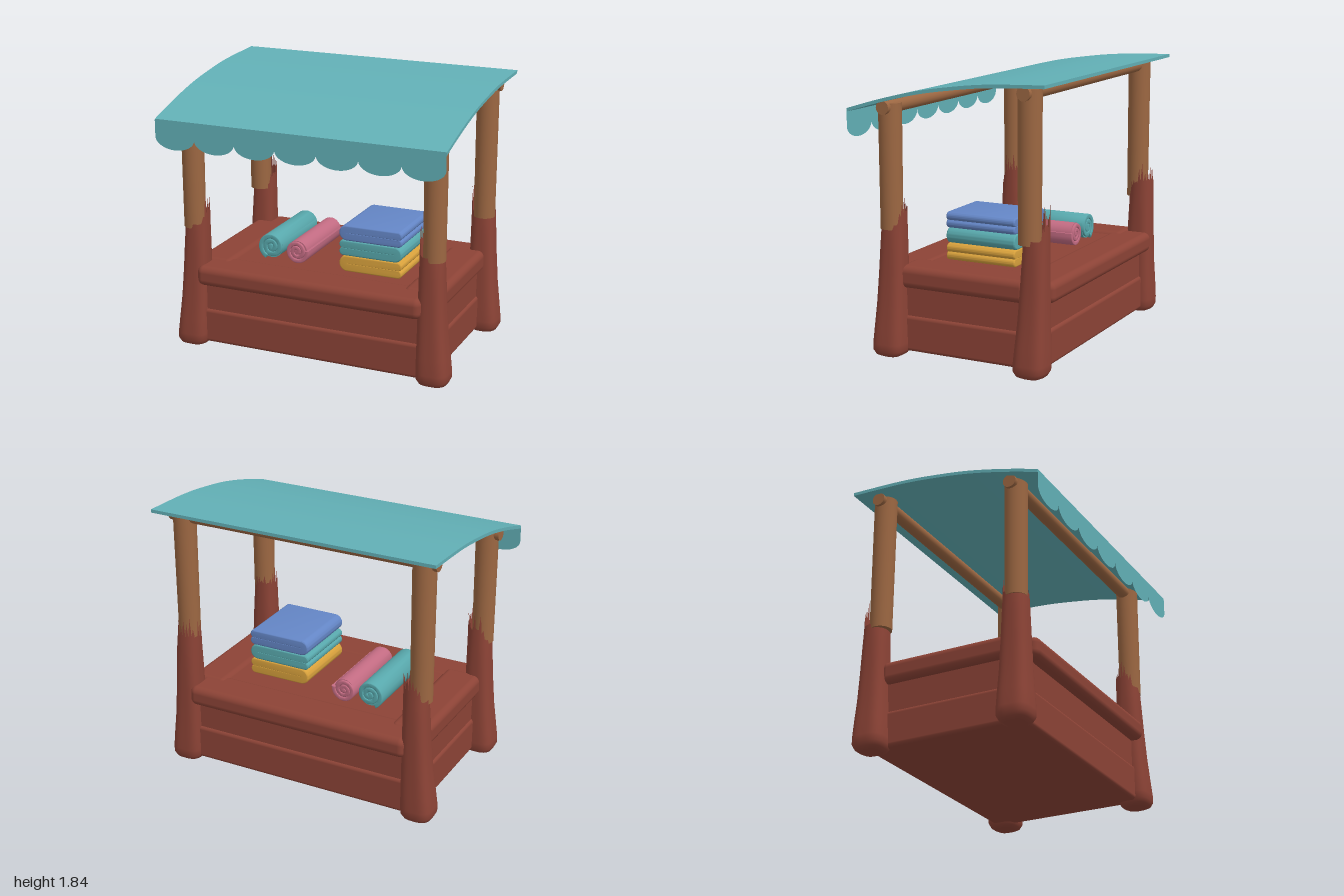
import * as THREE from 'three';
import { mergeVertices, toCreasedNormals } from 'three/addons/utils/BufferGeometryUtils.js';
import { RoundedBoxGeometry } from 'three/addons/geometries/RoundedBoxGeometry.js';

const mat = (name, color, side = THREE.FrontSide) => {
  const m = new THREE.MeshStandardMaterial({ color, side });
  m.name = name;
  return m;
};

export function createModel() {
  const model = new THREE.Group();
  model.name = 'marketStall';
  const redWood = mat('redWood', 0x8c4336, THREE.DoubleSide);
  const brownWood = mat('brownWood', 0x9c6742);
  const canopyTeal = mat('canopyTeal', 0x62b0b6, THREE.DoubleSide);
  const towelTeal = mat('towelTeal', 0x58a8ac);
  const towelBlue = mat('towelBlue', 0x6486c6);
  const towelYellow = mat('towelYellow', 0xd8a13c);
  const towelPink = mat('towelPink', 0xc26b82);

  const add = (name, geometry, material, x = 0, y = 0, z = 0) => {
    const mesh = new THREE.Mesh(geometry, material);
    mesh.name = name;
    mesh.position.set(x, y, z);
    model.add(mesh);
    return mesh;
  };
  // Rounded box given by its minimum and maximum corners
  const block = (name, a, b, r, material = redWood) => add(name,
    new RoundedBoxGeometry(b[0] - a[0], b[1] - a[1], b[2] - a[2], 4, r), material,
    (a[0] + b[0]) / 2, (a[1] + b[1]) / 2, (a[2] + b[2]) / 2);

  // Counter body: two stacked planks on every side
  block('lowerPlanks', [-0.85, 0.03, -0.6], [0.85, 0.27, 0.51], 0.025);
  block('upperPlanks', [-0.835, 0.24, -0.585], [0.835, 0.49, 0.495], 0.025);

  // Counter top: panel framed by thick rounded rails
  block('topPanel', [-0.64, 0.48, -0.42], [0.64, 0.583, 0.34], 0.008);
  block('frontRail', [-0.8, 0.455, 0.3], [0.8, 0.592, 0.575], 0.045);
  block('backRail', [-0.8, 0.455, -0.66], [0.8, 0.592, -0.385], 0.045);
  for (const s of [-1, 1]) {
    block('sideRail', [s * 0.75 - 0.13, 0.455, -0.5], [s * 0.75 + 0.13, 0.602, 0.42], 0.045);
  }

  // Flared leg with a splintered top on its inner, rearward side
  const hash = (n) => { const v = Math.sin(n * 127.1) * 43758.5453; return v - Math.floor(v); };
  // y, half width, centre x, centre z offset, squareness
  const legRows = [
    [0, 0.001, 0.87, 0, 3], [0.002, 0.065, 0.87, 0, 3], [0.016, 0.093, 0.87, 0, 3],
    [0.045, 0.108, 0.869, 0, 3.2], [0.09, 0.108, 0.867, 0, 3.4], [0.2, 0.102, 0.861, -0.003, 3.4],
    [0.35, 0.094, 0.853, -0.006, 3.2], [0.55, 0.087, 0.846, -0.01, 3], [0.72, 0.083, 0.842, -0.013, 2.7],
    [0.84, 0.081, 0.839, -0.015, 2.3], [0.87, 0.08, 0.838, -0.016, 2.2],
  ];
  const columns = 48;
  function leg(sx, zc, seed) {
    const g = new THREE.CylinderGeometry(1, 1, 1, columns, legRows.length - 1, true);
    const p = g.attributes.position;
    for (let i = 0; i < p.count; i++) {
      const column = i % (columns + 1);
      const row = Math.floor(i / (columns + 1));
      const [y, half, cx, dz, n] = legRows[legRows.length - 1 - row];
      const a = (column % columns) / columns * Math.PI * 2;
      const s = Math.sin(a), c = Math.cos(a);
      const r = half / Math.pow(Math.abs(s) ** n + Math.abs(c) ** n, 1 / n);
      let top = 0;
      if (row === 0) {
        const inner = THREE.MathUtils.smoothstep(-(s * sx + c) * 0.707, -0.15, 0.5);
        const tooth = column % 2 ? hash((column % columns) + seed) : 0.1 * hash(column % columns);
        top = inner * (0.07 + 0.17 * tooth);
      }
      p.setXYZ(i, sx * cx + r * s, y + top, zc + dz + r * c);
    }
    g.deleteAttribute('normal');
    g.deleteAttribute('uv');
    return toCreasedNormals(mergeVertices(g, 1e-5), 0.9);
  }

  // Four legs with posts, and a beam across each pair
  const rows = [
    { name: 'front', legZ: 0.466, postZ: 0.46, top: 1.65, beamY: 1.625 },
    { name: 'back', legZ: -0.548, postZ: -0.525, top: 1.795, beamY: 1.77 },
  ];
  rows.forEach((r, k) => {
    for (const s of [-1, 1]) {
      add(r.name + 'Leg', leg(s, r.legZ, 11 * k + 5 * s + 20), redWood);
      add(r.name + 'Post', new THREE.CylinderGeometry(0.076, 0.073, r.top - 0.84, 28),
        brownWood, s * 0.855, (r.top + 0.84) / 2, r.postZ);
    }
    const beam = add(r.name + 'Beam', new THREE.CylinderGeometry(0.045, 0.045, 1.9, 20),
      brownWood, 0, r.beamY, r.postZ);
    beam.rotation.z = Math.PI / 2;
  });

  // Curved canopy sheet
  const curve = new THREE.SplineCurve([
    [0.688, 1.605], [0.46, 1.673], [0.22, 1.733], [0, 1.772], [-0.3, 1.808], [-0.69, 1.825],
  ].map(([z, y]) => new THREE.Vector2(z, y))).getPoints(28);
  const shift = (d) => curve.map((q) => new THREE.Vector2(q.x, q.y + d));
  const sheet = new THREE.ExtrudeGeometry(
    new THREE.Shape([...shift(0.011), ...shift(-0.011).reverse()]),
    { depth: 2, bevelEnabled: false });
  sheet.translate(0, 0, -1).rotateY(-Math.PI / 2);
  add('canopy', toCreasedNormals(sheet, 0.6), canopyTeal);

  // Scalloped valance hanging from the front edge
  const valance = new THREE.Shape();
  valance.moveTo(-1, 1.612);
  valance.lineTo(-1, 1.5);
  for (let i = 0; i < 7; i++) {
    valance.absellipse(-1 + (i + 0.5) * 2 / 7, 1.5, 1 / 7, 0.08, Math.PI, Math.PI * 2, false);
  }
  valance.lineTo(1, 1.612);
  add('valance', new THREE.ShapeGeometry(valance, 16), canopyTeal, 0, 0, 0.69);

  // Folded towel: a U-shaped fold extruded front to back
  function foldedTowel(name, y, height, flip, material) {
    const w = 0.214, h = height / 2 - 0.01, t = h * 0.9;
    const s = new THREE.Shape();
    s.moveTo(w - t / 2, h);
    s.lineTo(-w + h, h);
    s.absarc(-w + h, 0, h, Math.PI / 2, Math.PI * 1.5, false);
    s.lineTo(w - t / 2, -h);
    s.absarc(w - t / 2, -h + t / 2, t / 2, -Math.PI / 2, Math.PI / 2, false);
    s.lineTo(-w + h, -h + t);
    s.lineTo(-w + h, h - t);
    s.lineTo(w - t / 2, h - t);
    s.absarc(w - t / 2, h - t / 2, t / 2, -Math.PI / 2, Math.PI / 2, false);
    const g = new THREE.ExtrudeGeometry(s, {
      depth: 0.48, bevelThickness: 0.01, bevelSize: 0.01, bevelOffset: -0.001, bevelSegments: 4, curveSegments: 12,
    });
    g.translate(0, 0, -0.24);
    const mesh = add(name, toCreasedNormals(g, 0.8), material, 0.325, y + height / 2, -0.01);
    if (flip) mesh.rotation.y = Math.PI;
  }
  foldedTowel('yellowTowel', 0.585, 0.113, false, towelYellow);
  foldedTowel('tealTowel', 0.695, 0.108, true, towelTeal);
  foldedTowel('blueTowel', 0.8, 0.108, false, towelBlue);

  // Rolled towel: a spiral strip extruded front to back
  function rolledTowel(name, x, radius, startAngle, material) {
    const turns = 2.6, steps = 90, r0 = 0.012;
    const pitch = (radius - r0) / turns;
    const spiral = (offset) => Array.from({ length: steps + 1 }, (_, i) => {
      const a = i / steps * turns * Math.PI * 2;
      const r = r0 + pitch * i / steps * turns + offset;
      return new THREE.Vector2(Math.cos(a + startAngle) * r, Math.sin(a + startAngle) * r);
    });
    const g = new THREE.ExtrudeGeometry(
      new THREE.Shape([...spiral(-0.006), ...spiral(-pitch + 0.008).slice(24).reverse()]),
      { depth: 0.57, bevelThickness: 0.007, bevelSize: 0.006, bevelSegments: 3 });
    g.translate(0, 0, -0.285);
    add(name, toCreasedNormals(g, 0.8), material, x, 0.583 + radius * 0.97, -0.057);
    // Core fills the centre of the roll just behind its ends
    const core = add(name + 'Core', new THREE.CylinderGeometry(radius * 0.8, radius * 0.8, 0.556, 32),
      material, x, 0.583 + radius * 0.97, -0.057);
    core.rotation.x = Math.PI / 2;
  }
  rolledTowel('tealRoll', -0.402, 0.1, 0.4, towelTeal);
  rolledTowel('pinkRoll', -0.213, 0.09, 2.6, towelPink);

  return model;
}
